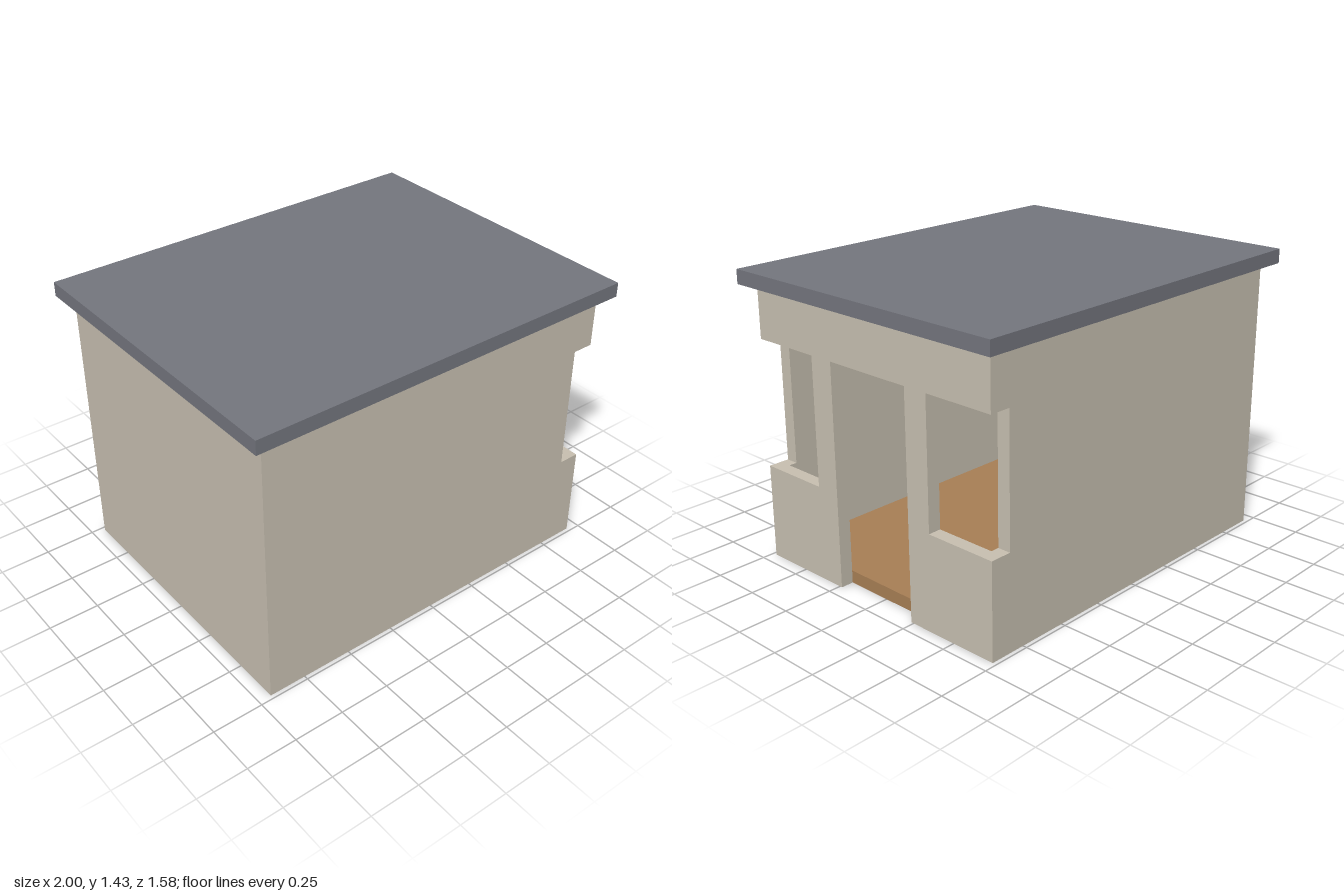
import * as THREE from 'three';

const X = 0.937, Z = 0.73, T = 0.065, H = 1.36; // wall half sizes, thickness, height
const SILL = 0.47, HEAD = 1.1, FLOOR = 0.063;

const wallMat = new THREE.MeshStandardMaterial({ color: 0xc8c0b1 });
wallMat.name = 'plaster';
const roofMat = new THREE.MeshStandardMaterial({ color: 0x74767e });
roofMat.name = 'slate grey';
const floorMat = new THREE.MeshStandardMaterial({ color: 0xa87f55 });
floorMat.name = 'wood';

function addMesh(group, name, geometry, material) {
  const mesh = new THREE.Mesh(geometry, material);
  mesh.name = name;
  group.add(mesh);
  return mesh;
}

function slab(points, depth) {
  const shape = new THREE.Shape(points.map(([x, y]) => new THREE.Vector2(x, y)));
  return new THREE.ExtrudeGeometry(shape, { depth, bevelEnabled: false });
}

export function createModel() {
  const group = new THREE.Group();
  group.name = 'building';

  // Entrance wall on +x: doorway in the middle, windows open to both corners
  const door = 0.236, pier = 0.364;
  const half = [[door, 0], [Z, 0], [Z, SILL], [pier, SILL], [pier, HEAD], [Z, HEAD], [Z, H]];
  const mirrored = half.map(([z, y]) => [-z, y]).reverse();
  const entrance = slab([...half, ...mirrored, [-door, HEAD], [door, HEAD]], T);
  entrance.rotateY(Math.PI / 2).translate(X - T, 0, 0);
  addMesh(group, 'entranceWall', entrance, wallMat);

  // Side walls, notched where the corner windows wrap around
  const inner = X - T, jamb = 0.831;
  const side = [[-X, 0], [inner, 0], [inner, SILL], [jamb, SILL], [jamb, HEAD], [inner, HEAD], [inner, H], [-X, H]];
  for (const [name, z] of [['frontWall', Z - T], ['backWall', -Z]]) {
    addMesh(group, name, slab(side, T).translate(0, 0, z), wallMat);
  }

  // Closed end wall on -x
  const end = addMesh(group, 'endWall', new THREE.BoxGeometry(T, H, 2 * (Z - T)), wallMat);
  end.position.set(-X + T / 2, H / 2, 0);

  // Floor between the walls
  const floor = addMesh(group, 'floor', new THREE.BoxGeometry(2 * inner, FLOOR, 2 * (Z - T)), floorMat);
  floor.position.y = FLOOR / 2;

  // Overhanging flat roof
  const roof = addMesh(group, 'roof', new THREE.BoxGeometry(2, 0.07, 1.58), roofMat);
  roof.position.y = H + 0.035;

  return group;
}
